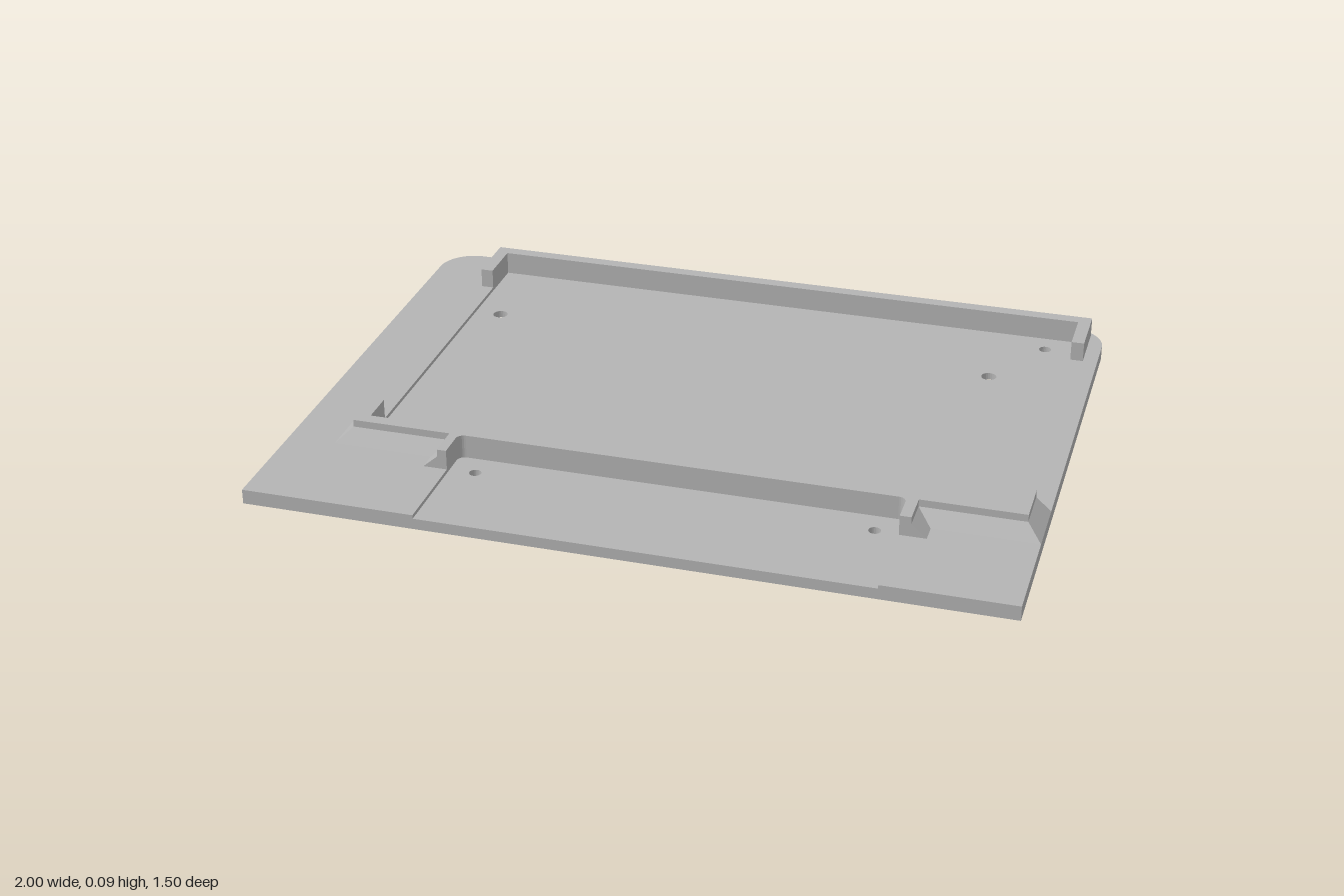
import * as THREE from 'three';
import { ConvexGeometry } from 'three/addons/geometries/ConvexGeometry.js';

const gray = new THREE.MeshStandardMaterial({ color: 0xb3b3b3 });
gray.name = 'plain gray';

// Heights of the stacked levels
const SLOT = 0.01, FLOOR = 0.03, DECK = 0.04, BEVEL = 0.075, TOP = 0.095;

export function createModel() {
  const model = new THREE.Group();
  model.name = 'mountingTray';

  const add = (name, geometry) => {
    const mesh = new THREE.Mesh(geometry, gray);
    mesh.name = name;
    model.add(mesh);
  };

  // Plan outlines use (x, -z) so that extruding runs upwards
  const slab = (name, shape, y0, y1) => {
    const g = new THREE.ExtrudeGeometry(shape, { depth: y1 - y0, bevelEnabled: false, curveSegments: 12 });
    g.rotateX(-Math.PI / 2);
    g.translate(0, y0, 0);
    add(name, g);
  };
  const polygon = (points) => new THREE.Shape(points.map(([x, z]) => new THREE.Vector2(x, -z)));
  const circle = (x, z, r) => new THREE.Path().absarc(x, -z, r, 0, Math.PI * 2, true);

  // Slot with round ends from one centre to the other
  const slot = (x0, z0, x1, z1, r) => {
    const a = Math.atan2(z0 - z1, x1 - x0);
    const p = new THREE.Path();
    p.absarc(x1, -z1, r, a - Math.PI / 2, a + Math.PI / 2, false);
    p.absarc(x0, -z0, r, a + Math.PI / 2, a + Math.PI * 1.5, false);
    p.closePath();
    return p;
  };

  // Inner corner points of the front recess, rounded
  const L = -0.535, R = 0.655, BACK = 0.42, FILLET = 0.02;
  const recess = [];
  for (let i = 0; i <= 6; i++) {
    const a = (i / 6) * Math.PI / 2;
    recess.push([R - FILLET + FILLET * Math.cos(a), BACK + FILLET - FILLET * Math.sin(a)]);
  }
  for (let i = 0; i <= 6; i++) {
    const a = (i / 6) * Math.PI / 2;
    recess.push([L + FILLET - FILLET * Math.sin(a), BACK + FILLET - FILLET * Math.cos(a)]);
  }

  // Base outline with rounded back corners, optionally notched at the front
  const plate = (notched) => {
    const s = new THREE.Shape();
    s.moveTo(-1, -0.75);
    if (notched) {
      s.lineTo(L, -0.75);
      [...recess].reverse().forEach(([x, z]) => s.lineTo(x, -z));
      s.lineTo(R, -0.75);
    }
    s.lineTo(1, -0.75);
    s.lineTo(1, 0.65);
    s.absarc(0.9, 0.65, 0.1, 0, Math.PI / 2, false);
    s.absarc(-0.9, 0.65, 0.1, Math.PI / 2, Math.PI, false);
    s.closePath();
    return s;
  };

  const slotHoles = [[-0.72, -0.405, 0.021], [0.72, -0.405, 0.021]];
  const smallHoles = [[0.845, -0.613, 0.017], [-0.465, 0.49, 0.016], [0.59, 0.49, 0.016]];

  // Underside with three shallow slots
  const under = plate(false);
  under.holes.push(slot(-0.75, -0.405, 0.75, -0.405, 0.07));
  for (const x of [-0.85, 0.85]) under.holes.push(slot(x, 0.29, x, 0.63, 0.07));
  smallHoles.forEach((h) => under.holes.push(circle(...h)));
  slab('baseUnderside', under, 0, SLOT);

  // Floor pierced by the screw holes
  const floor = plate(false);
  [...slotHoles, ...smallHoles].forEach((h) => floor.holes.push(circle(...h)));
  slab('baseFloor', floor, SLOT, FLOOR);

  // Deck around the tray pocket and the front recess
  const deck = plate(true);
  deck.holes.push(polygon([[-0.795, -0.68], [0.925, -0.68], [0.925, 0.385], [-0.795, 0.385]]));
  slab('baseDeck', deck, FLOOR, DECK);

  // Back wall with two short arms
  slab('backWall', polygon([
    [-0.83, -0.55], [-0.795, -0.55], [-0.795, -0.68], [0.925, -0.68],
    [0.925, -0.55], [0.96, -0.55], [0.96, -0.715], [-0.83, -0.715],
  ]), DECK, TOP);

  // Front wall with side arms and two tabs flanking the recess
  slab('frontWall', polygon([
    [-0.83, 0.295], [-0.795, 0.295], [-0.795, 0.385], [0.925, 0.385], [0.925, 0.295],
    [0.96, 0.295], [0.96, BACK], [0.685, BACK], [0.685, 0.51], [R, 0.51],
    ...recess,
    [L, 0.51], [-0.56, 0.51], [-0.56, BACK], [-0.83, BACK],
  ]), DECK, TOP);

  // Sloped skirts: lower and upper plan corners joined as a solid
  const skirt = (name, low, high) => add(name, new ConvexGeometry([
    ...low.map(([x, z]) => new THREE.Vector3(x, DECK, z)),
    ...high.map(([x, z]) => new THREE.Vector3(x, BEVEL, z)),
  ]));

  skirt('backSkirt',
    [[-0.83, -0.75], [0.92, -0.75], [0.96, -0.71], [-0.83, -0.71]],
    [[-0.83, -0.715], [0.96, -0.715], [0.96, -0.71], [-0.83, -0.71]]);

  // Each side: outer arm edge, wall edge, tab edge, and outward direction
  for (const [side, arm, tab, d] of [['right', -0.83, -0.56, -1], ['left', 0.96, 0.685, 1]]) {
    const out = arm + d * 0.04, inner = arm - d * 0.01;
    skirt(side + 'ArmSkirt',
      [[out, 0.295], [out, 0.46], [inner, BACK], [inner, 0.295]],
      [[arm, 0.295], [arm, BACK], [inner, BACK], [inner, 0.295]]);
    skirt(side + 'FrontSkirt',
      [[out, 0.46], [tab, 0.46], [tab, 0.41], [arm, 0.41]],
      [[arm, BACK], [tab, BACK], [tab, 0.41], [arm, 0.41]]);
    const foot = tab + d * 0.04, root = tab - d * 0.01;
    skirt(side + 'TabSkirt',
      [[foot, 0.41], [foot, 0.51], [root, 0.51], [root, 0.41]],
      [[tab, 0.41], [tab, 0.51], [root, 0.51], [root, 0.41]]);
  }

  return model;
}
